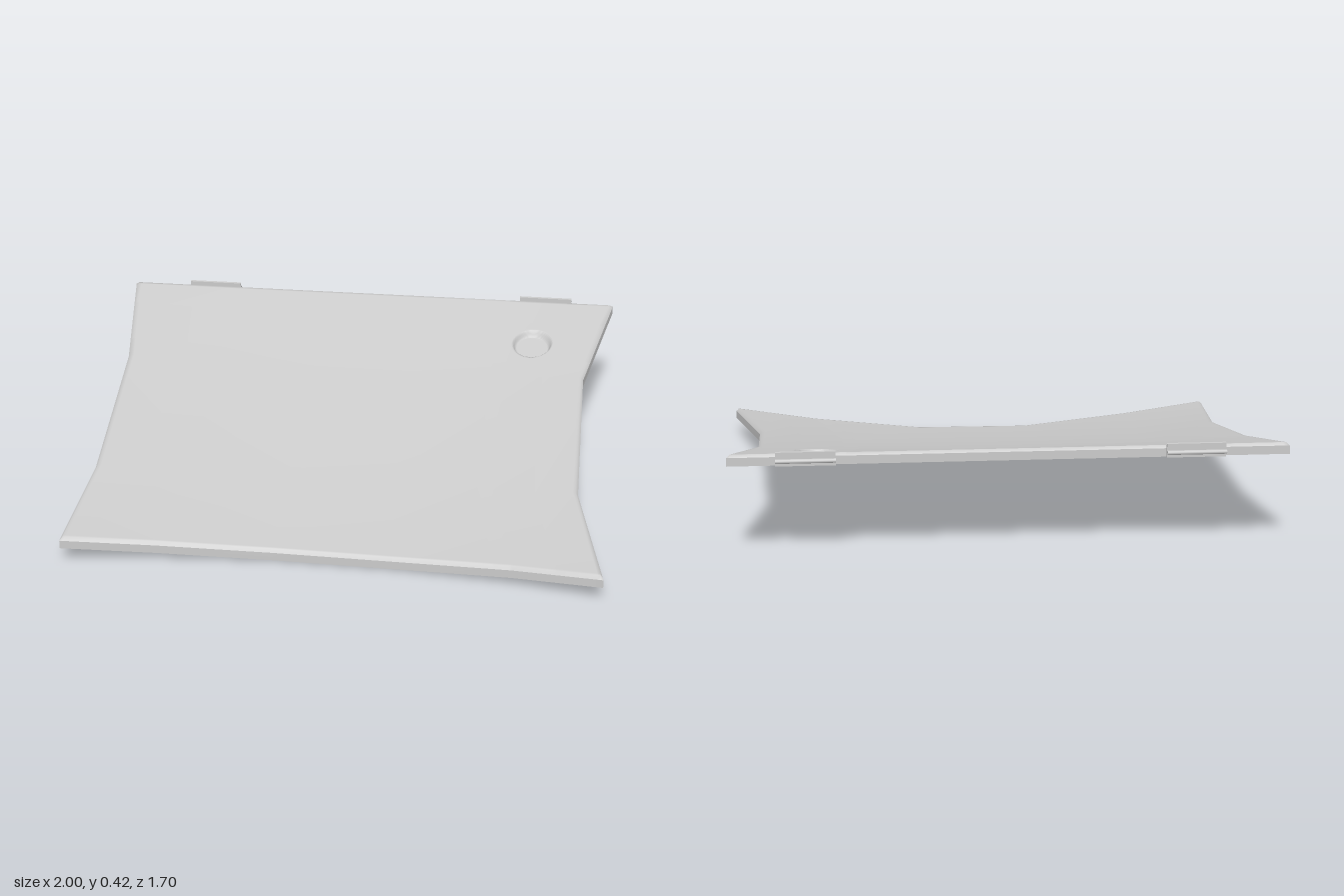
import * as THREE from 'three';

// Control rows run front to back: x, z and top height y at six columns
const ROWS = [
  { x: [-0.96, -0.62, -0.2, 0.24, 0.67, 1], z: [0.81, 0.75, 0.7, 0.71, 0.77, 0.85], y: [0.11, 0.08, 0.05, 0.05, 0.08, 0.11] },
  { x: [-0.93, -0.58, -0.2, 0.2, 0.57, 0.89], z: [0.33, 0.29, 0.27, 0.27, 0.29, 0.33], y: [0.16, 0.135, 0.12, 0.12, 0.135, 0.16] },
  { x: [-0.94, -0.58, -0.2, 0.2, 0.56, 0.88], z: [-0.35, -0.35, -0.35, -0.35, -0.35, -0.35], y: [0.305, 0.29, 0.28, 0.28, 0.29, 0.305] },
  { x: [-1, -0.62, -0.2, 0.22, 0.62, 0.98], z: [-0.82, -0.82, -0.82, -0.82, -0.82, -0.82], y: [0.42, 0.42, 0.42, 0.42, 0.42, 0.42] },
];
const U = 5, V = 3, THICK = 0.043, BEVEL = 0.012;
const RECESS = { x: 0.667, z: -0.555, inner: 0.066, outer: 0.078, depth: 0.022 };

// Point on the bent sheet at u (across) and v (front to back)
function sheet(u, v) {
  const i = Math.min(Math.floor(u), U - 1), j = Math.min(Math.floor(v), V - 1);
  const at = (key) => {
    const [a, b] = [ROWS[j][key], ROWS[j + 1][key]];
    return THREE.MathUtils.lerp(
      THREE.MathUtils.lerp(a[i], a[i + 1], u - i),
      THREE.MathUtils.lerp(b[i], b[i + 1], u - i), v - j);
  };
  return new THREE.Vector3(at('x'), at('y'), at('z'));
}

// Top face: lowered at its border for the bevel, dished at the round recess
function topPoint(u, v) {
  const p = sheet(u, v);
  if (u === 0 || u === U || v === 0 || v === V) p.y -= BEVEL;
  const dz = p.z - RECESS.z;
  const d = Math.hypot(p.x - RECESS.x, dz > 0 ? dz * 0.92 : dz);
  p.y -= RECESS.depth * (1 - THREE.MathUtils.smoothstep(d, RECESS.inner, RECESS.outer));
  return p;
}

function bottomPoint(u, v) {
  const p = sheet(u, v);
  p.y -= THICK;
  return p;
}

// Grid surface over lists of parameters
function gridGeometry(us, vs, point, flip = false) {
  const pos = [], index = [], n = us.length;
  for (const v of vs) for (const u of us) pos.push(...point(u, v).toArray());
  for (let j = 0; j < vs.length - 1; j++) {
    for (let i = 0; i < n - 1; i++) {
      const a = j * n + i, b = a + 1, c = b + n, d = a + n;
      index.push(...(flip ? [a, c, b, a, d, c] : [a, b, c, a, c, d]));
    }
  }
  const g = new THREE.BufferGeometry();
  g.setAttribute('position', new THREE.Float32BufferAttribute(pos, 3));
  g.setIndex(index);
  g.computeVertexNormals();
  return g;
}

const steps = (from, to, n) => Array.from({ length: n + 1 }, (_, i) => from + (to - from) * i / n);

export function createModel() {
  const group = new THREE.Group();
  const material = new THREE.MeshStandardMaterial({ color: 0xcccccc, side: THREE.DoubleSide });
  const add = (name, geometry, parent = group) => {
    const mesh = new THREE.Mesh(geometry, material);
    mesh.name = name;
    parent.add(mesh);
    return mesh;
  };

  // Top skin, with lines packed closely around the recess and at the bevel
  const us = [0, 0.03, 0.06, 1, 2, 3, ...steps(3.85, 4.5, 44), 4.94, 4.97, 5];
  const vs = [0, 0.02, 0.04, 1, 2, ...steps(2.2, 2.7, 40), 2.96, 2.98, 3];
  add('topPanel', gridGeometry(us, vs, topPoint));

  // Underside
  const ku = steps(0, U, U), kv = steps(0, V, V);
  add('undersidePanel', gridGeometry(ku, kv, bottomPoint, true));

  // Four edge strips joining top and underside
  const strip = (name, ts, uv, flip) => add(name, gridGeometry(ts, [0, 1], (t, k) => {
    const p = sheet(...uv(t));
    p.y -= k ? BEVEL : THICK;
    return p;
  }, flip));
  strip('frontEdge', ku, (t) => [t, 0], false);
  strip('backEdge', ku, (t) => [t, V], true);
  strip('leftEdge', kv, (t) => [U, t], false);
  strip('rightEdge', kv, (t) => [0, t], true);

  // Hinges along the back edge: a plate, a short web and a pin
  for (const [name, x] of [['rightHinge', -0.665], ['leftHinge', 0.705]]) {
    const hinge = new THREE.Group();
    hinge.name = name;
    hinge.position.set(x, 0.403, -0.826);
    add('hingePlate', new THREE.BoxGeometry(0.21, 0.05, 0.012), hinge).position.set(0, 0, -0.003);
    add('hingeWeb', new THREE.BoxGeometry(0.21, 0.006, 0.018), hinge).position.set(0, -0.004, -0.014);
    const pin = add('hingePin', new THREE.CylinderGeometry(0.008, 0.008, 0.21, 12), hinge);
    pin.rotation.z = Math.PI / 2;
    pin.position.set(0, -0.004, -0.02);
    group.add(hinge);
  }
  return group;
}
